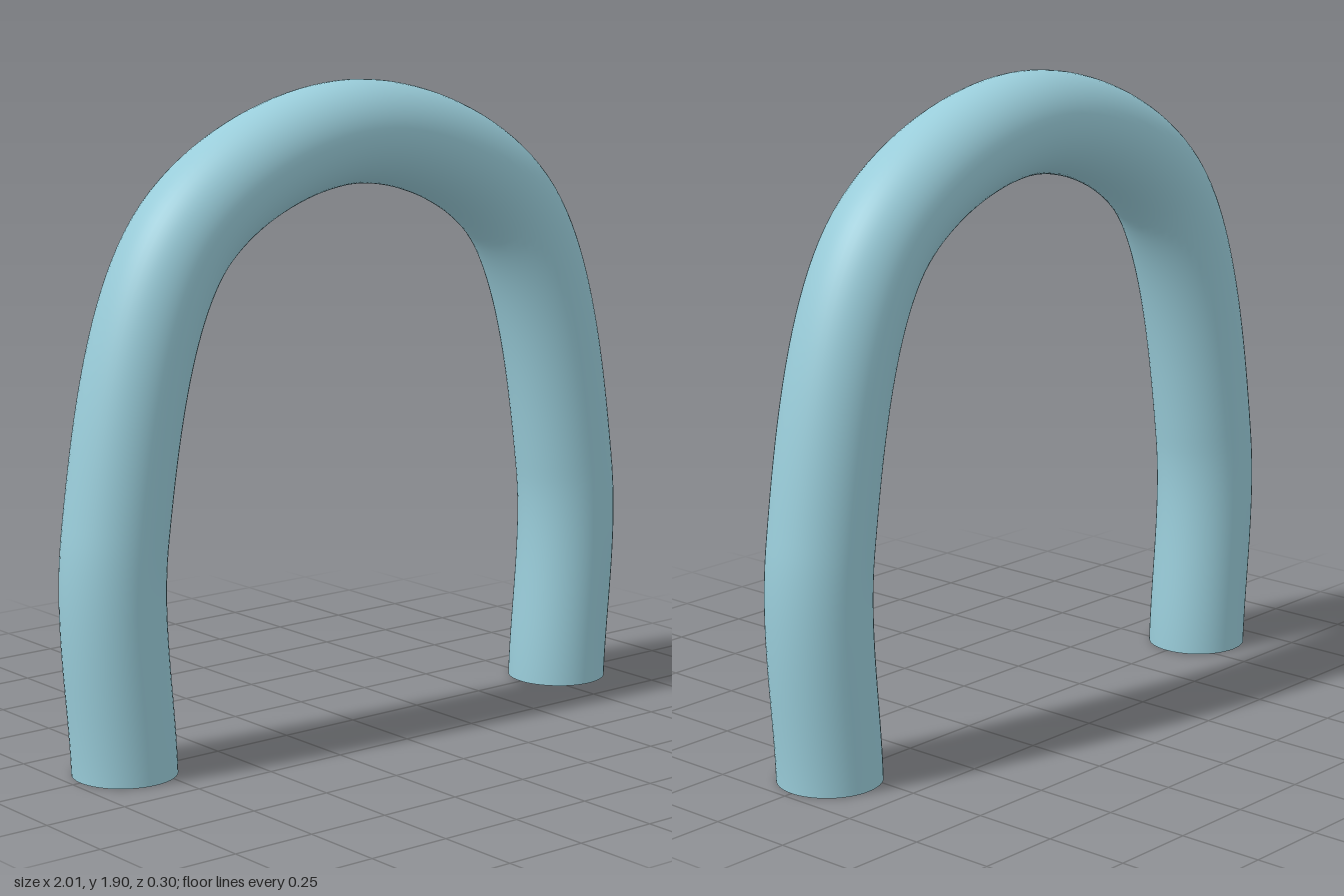
import * as THREE from 'three';

const RADIUS = 0.15;
const SIDES = 48;

export function createModel() {
  const group = new THREE.Group();
  group.name = 'arch';
  const material = new THREE.MeshStandardMaterial({ color: 0x99ccd9 });

  // Centre line: one leg, mirrored over the crown
  const leg = [[0.825, 0], [0.846, 0.68], [0.597, 1.502]];
  const points = [
    ...leg.map(([x, y]) => new THREE.Vector3(-x, y, 0)),
    new THREE.Vector3(0, 1.753, 0),
    ...leg.map(([x, y]) => new THREE.Vector3(x, y, 0)).reverse(),
  ];
  const path = new THREE.CatmullRomCurve3(points);

  // Bent tube, with both end rings levelled onto the ground
  const geometry = new THREE.TubeGeometry(path, 120, RADIUS, SIDES, false);
  const position = geometry.attributes.position;
  for (let i = 0; i <= SIDES; i++) {
    position.setY(i, 0);
    position.setY(position.count - 1 - i, 0);
  }
  const tube = new THREE.Mesh(geometry, material);
  tube.name = 'archTube';
  group.add(tube);

  // Flat caps under the feet
  for (const [name, side] of [['leftFootCap', 1], ['rightFootCap', -1]]) {
    const cap = new THREE.Mesh(new THREE.CircleGeometry(RADIUS, SIDES), material);
    cap.name = name;
    cap.rotation.x = Math.PI / 2;
    cap.position.x = side * leg[0][0];
    group.add(cap);
  }
  return group;
}
